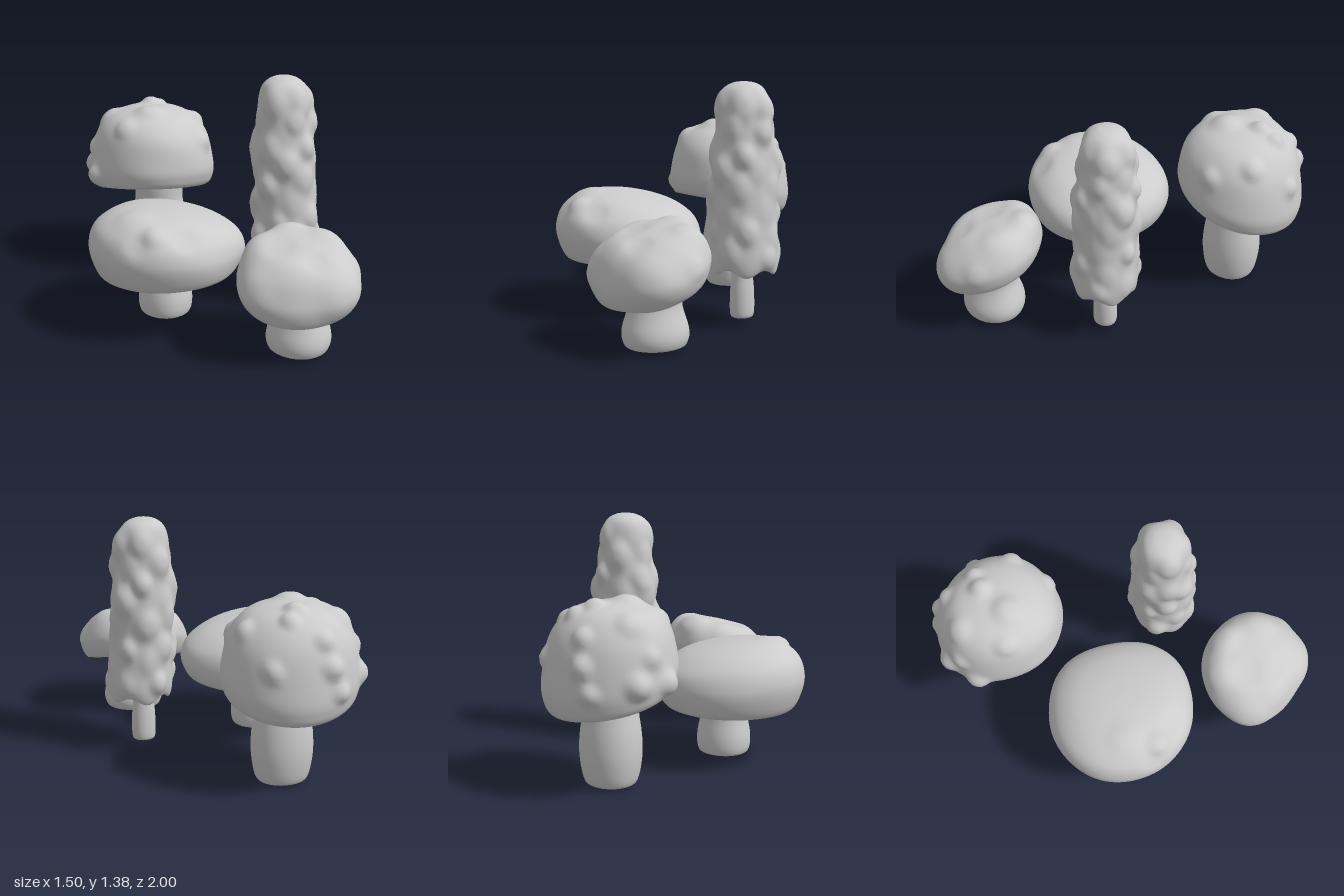
import * as THREE from 'three';
import { mergeVertices } from 'three/addons/utils/BufferGeometryUtils.js';

const material = new THREE.MeshStandardMaterial({ color: 0xcccccc });

// Small seeded random generator
function seeded(seed) {
  return () => (seed = (seed * 16807) % 2147483647) / 2147483647;
}

// Closed smooth surface of revolution, seam welded
function turned(profile, rows, sides) {
  const curve = new THREE.SplineCurve(profile.map(([r, y]) => new THREE.Vector2(r, y)));
  const points = curve.getPoints(rows);
  points.forEach(p => { p.x = Math.max(0, p.x); });
  const raw = new THREE.LatheGeometry(points, sides);
  raw.deleteAttribute('uv');
  raw.deleteAttribute('normal');
  const geometry = mergeVertices(raw, 1e-5);
  geometry.computeVertexNormals();
  return geometry;
}

// Move every vertex by a rule
function warp(geometry, rule) {
  const pos = geometry.attributes.position, v = new THREE.Vector3();
  for (let i = 0; i < pos.count; i++) {
    rule(v.fromBufferAttribute(pos, i));
    pos.setXYZ(i, v.x, v.y, v.z);
  }
  geometry.computeVertexNormals();
}

// Push out rounded knobs [x, y, z, radius, height] at the nearest surface point
function addKnobs(geometry, knobs, stretch = 1) {
  const pos = geometry.attributes.position, nor = geometry.attributes.normal;
  const v = new THREE.Vector3(), n = new THREE.Vector3();
  const centres = knobs.map(([x, y, z]) => {
    const target = new THREE.Vector3(x, y, z), best = new THREE.Vector3();
    let least = Infinity;
    for (let i = 0; i < pos.count; i++) {
      const d = v.fromBufferAttribute(pos, i).distanceToSquared(target);
      if (d < least) { least = d; best.copy(v); }
    }
    return best;
  });
  for (let i = 0; i < pos.count; i++) {
    v.fromBufferAttribute(pos, i);
    n.fromBufferAttribute(nor, i);
    let push = 0;
    knobs.forEach(([, , , r, h], k) => {
      const c = centres[k];
      const d = Math.hypot(v.x - c.x, (v.y - c.y) / stretch, v.z - c.z) / r;
      if (d < 2) push += h * Math.exp(-(d ** 3));
    });
    v.addScaledVector(n, Math.max(-0.04, Math.min(0.055, push)));
    pos.setXYZ(i, v.x, v.y, v.z);
  }
  geometry.computeVertexNormals();
}

function mesh(name, geometry) {
  const m = new THREE.Mesh(geometry, material);
  m.name = name;
  return m;
}

// Stem with a rounded foot
function stem(x, z, profile) {
  const geometry = turned(profile, 32, 40);
  warp(geometry, v => {
    const a = Math.atan2(v.z, v.x), k = 1 + 0.02 * Math.sin(3 * a + x * 9);
    v.x = v.x * k + x;
    v.z = v.z * k + z;
  });
  return mesh('stem', geometry);
}

// Cap: slope at the rim and at the crown are given separately as [per x, per z];
// skew stretches the outline along the (+x, -z) diagonal and shortens it across
function cap({ x, z, depth, profile, rim, crown, lump, shift, knobs }) {
  const geometry = turned(profile, 72, 96);
  const ys = profile.map(p => p[1]), low = Math.min(...ys), high = Math.max(...ys);
  const reach = Math.max(...profile.map(p => p[0]));
  warp(geometry, v => {
    const t = THREE.MathUtils.clamp((v.y - low) / (high - low), 0, 1);
    const k = 1 + lump * Math.sin(9 * v.x + 7 * v.y + 1) * Math.sin(8 * v.z - 6 * v.y + x * 5);
    // Outline bulges toward one diagonal and flattens on the other
    const diagonal = (v.x - v.z) / (reach * Math.SQRT2);
    const bulge = 1 + shift * diagonal ** 3 / reach;
    v.x *= k * bulge;
    v.z *= k * bulge * depth;
    v.y += THREE.MathUtils.lerp(rim[0], crown[0], t) * v.x
         + THREE.MathUtils.lerp(rim[1], crown[1], t) * v.z;
    v.x += x;
    v.z += z;
  });
  addKnobs(geometry, knobs);
  return mesh('cap', geometry);
}

function mushroom(name, ...parts) {
  const group = new THREE.Group();
  group.name = name;
  group.add(...parts);
  return group;
}

// Tall cap covered in rows of long lumps, with a ragged hem
function lumpyCap() {
  const geometry = turned([
    [0, 0.42], [0.07, 0.41], [0.13, 0.36], [0.165, 0.33], [0.185, 0.4], [0.178, 0.55], [0.172, 0.75],
    [0.17, 0.95], [0.15, 1.15], [0.135, 1.27], [0.11, 1.345], [0.06, 1.38], [0, 1.388]], 120, 96);
  warp(geometry, v => {
    const a = Math.atan2(v.z, v.x);
    const hem = THREE.MathUtils.clamp((0.5 - v.y) / 0.15, 0, 1);
    const widen = 0.02 * (v.x - v.z), lean = 0.03 * (v.y - 0.35);
    v.y += 0.02 * hem * Math.sin(5 * a + 1);
    v.x += 0.438 + widen - lean;
    v.z += 0.015 - widen - 0.5 * lean;
  });
  const random = seeded(77), knobs = [];
  for (let row = 0; row < 8; row++) {
    for (let i = 0; i < 5; i++) {
      const a = (i + (row % 2) / 2 + 0.4 * random()) * Math.PI * 0.4;
      const y = 0.4 + row * 0.12 + 0.06 * random();
      knobs.push([0.425 + 0.19 * Math.cos(a), y, 0.01 + 0.19 * Math.sin(a),
        0.045 + 0.025 * random(), 0.008 + 0.028 * random()]);
    }
  }
  addKnobs(geometry, knobs, 1.25);
  return mesh('lumpyCap', geometry);
}

export function createModel() {
  const model = new THREE.Group();
  model.name = 'mushroomCluster';

  model.add(mushroom('knobbedMushroom',
    stem(-0.29, -0.605, [[0, 0.003], [0.11, 0.01], [0.15, 0.04], [0.173, 0.17], [0.17, 0.3],
      [0.148, 0.45], [0.142, 0.6], [0, 0.61]]),
    cap({
      x: -0.335, z: -0.62, depth: 0.97, rim: [0, 0.25], crown: [0, 0], lump: 0.015, shift: 0.022,
      profile: [[0, 0.59], [0.25, 0.58], [0.315, 0.54], [0.343, 0.53], [0.37, 0.575], [0.381, 0.67],
        [0.342, 0.86], [0.25, 0.98], [0.12, 1.03], [0, 1.038]],
      knobs: [
        [-0.33, 1.04, -0.74, 0.055, 0.035], [-0.28, 1.02, -0.84, 0.045, 0.03],
        [-0.07, 0.91, -0.72, 0.055, 0.03], [-0.02, 0.84, -0.49, 0.055, 0.025],
        [-0.15, 0.75, -0.96, 0.05, 0.03], [-0.5, 0.75, -0.95, 0.055, 0.04],
        [-0.72, 0.66, -0.72, 0.06, 0.04], [-0.69, 0.64, -0.5, 0.06, 0.04],
        [-0.34, 1.02, -0.52, 0.08, 0.03], [-0.49, 0.94, -0.43, 0.06, 0.02],
        [-0.58, 0.95, -0.68, 0.07, 0.025], [-0.69, 0.8, -0.62, 0.05, 0.025],
        [-0.55, 0.62, -0.93, 0.05, 0.03], [-0.45, 0.9, -0.9, 0.05, 0.03]],
    })));

  model.add(mushroom('broadMushroom',
    stem(-0.29, 0.2, [[0, 0.045], [0.12, 0.045], [0.15, 0.07], [0.155, 0.15], [0.135, 0.28],
      [0.14, 0.42], [0, 0.45]]),
    cap({
      x: -0.27, z: 0.225, depth: 0.965, rim: [0.03, 0], crown: [-0.13, 0.1], lump: 0.02, shift: -0.035,
      profile: [[0, 0.43], [0.26, 0.41], [0.33, 0.36], [0.385, 0.335], [0.425, 0.4], [0.44, 0.49],
        [0.4, 0.585], [0.29, 0.66], [0.15, 0.695], [0, 0.705]],
      knobs: [[-0.36, 0.64, 0.55, 0.06, 0.025], [-0.47, 0.72, 0.42, 0.1, 0.015],
        [-0.2, 0.62, 0.56, 0.07, -0.015], [-0.45, 0.6, 0.58, 0.06, -0.015]],
    })));

  model.add(mushroom('tiltedMushroom',
    stem(0.425, 0.695, [[0, 0.02], [0.14, 0.022], [0.175, 0.05], [0.18, 0.12], [0.145, 0.25],
      [0.14, 0.4], [0, 0.43]]),
    cap({
      x: 0.41, z: 0.705, depth: 0.87, rim: [0, -0.31], crown: [0, -0.22], lump: 0.03, shift: 0,
      profile: [[0, 0.43], [0.2, 0.41], [0.26, 0.355], [0.295, 0.34], [0.33, 0.395], [0.342, 0.47],
        [0.303, 0.562], [0.225, 0.628], [0.12, 0.652], [0, 0.658]],
      knobs: [[0.38, 0.68, 0.47, 0.09, 0.025], [0.58, 0.64, 0.6, 0.09, 0.015],
        [0.73, 0.5, 0.68, 0.06, 0.01], [0.3, 0.63, 0.72, 0.08, -0.012],
        [0.48, 0.6, 0.85, 0.07, -0.012], [0.33, 0.55, 0.92, 0.1, 0.01],
        [0.62, 0.42, 0.92, 0.14, 0.025], [0.2, 0.6, 0.6, 0.08, 0.012],
        [0.15, 0.45, 0.87, 0.12, 0.02]],
    })));

  model.add(mushroom('tallMushroom',
    stem(0.42, 0.018, [[0, 0.04], [0.045, 0.045], [0.068, 0.07], [0.068, 0.2], [0.06, 0.3],
      [0.06, 0.43], [0, 0.45]]),
    lumpyCap()));

  return model;
}
